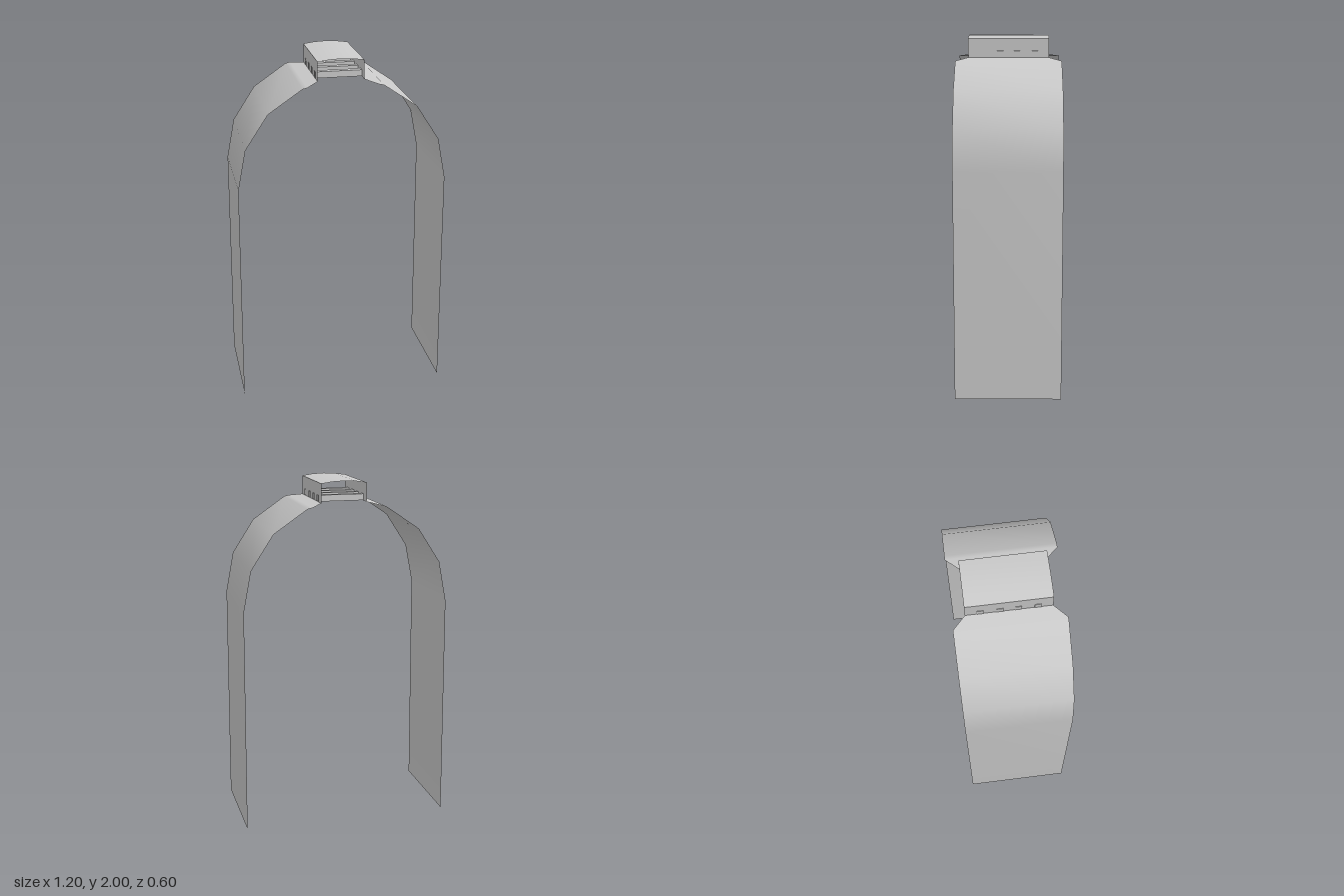
import * as THREE from 'three';

const SPRING = 1.3;                      // height where the arch begins
const ARCH_X = 0.592, ARCH_Y = 0.606;    // arch half width and rise
const NECK_X = 0.2;                      // where the roof starts to narrow
const CAP_X = 0.131, CAP_Z = 0.23;

const sheetMaterial = new THREE.MeshStandardMaterial({ color: 0xcccccc, side: THREE.DoubleSide });
const slatMaterial = new THREE.MeshStandardMaterial({ color: 0xcccccc });

// Thin sheet through rows of [x, y, halfDepth]
function sheet(name, rows) {
  const positions = [], index = [];
  rows.forEach(([x, y, d], i) => {
    positions.push(x, y, d, x, y, -d);
    if (i < rows.length - 1) {
      const a = i * 2;
      index.push(a, a + 1, a + 2, a + 1, a + 3, a + 2);
    }
  });
  const geometry = new THREE.BufferGeometry();
  geometry.setAttribute('position', new THREE.Float32BufferAttribute(positions, 3));
  geometry.setIndex(index);
  geometry.computeVertexNormals();
  const mesh = new THREE.Mesh(geometry, sheetMaterial);
  mesh.name = name;
  return mesh;
}

// Mirror rows across x, reversed so the outside still faces out
const mirrored = (rows) => rows.map(([x, y, d]) => [-x, y, d]).reverse();

export function createModel() {
  const group = new THREE.Group();
  group.name = 'ventilatedArch';

  // Half arch: slightly leaning leg, coarse curved roof, narrowed neck at the vent
  const half = [[0.6, 0, 0.3]];
  for (let i = 0; i <= 3; i++) {
    const a = i * Math.PI / 8;
    half.push([ARCH_X * Math.cos(a), SPRING + ARCH_Y * Math.sin(a), 0.3]);
  }
  half.push([NECK_X, 1.866, 0.3], [CAP_X, 1.88, CAP_Z]);
  group.add(sheet('leftArch', half), sheet('rightArch', mirrored(half)));

  // Raised vent: side walls and gently curved cap, open at both ends
  const wall = [[CAP_X, 1.88, CAP_Z], [CAP_X, 1.988, CAP_Z]];
  group.add(sheet('leftVentWall', wall), sheet('rightVentWall', mirrored(wall)));
  const cap = [];
  for (let i = 0; i <= 4; i++) {
    const t = 1 - i / 2;
    cap.push([CAP_X * t, 2 - 0.012 * t * t, CAP_Z]);
  }
  group.add(sheet('ventCap', cap));

  // Slats crossing under the cap, ends just showing through the walls
  const slatGeometry = new THREE.BoxGeometry(0.267, 0.036, 0.035);
  for (const z of [-0.15, -0.048, 0.048, 0.15]) {
    const slat = new THREE.Mesh(slatGeometry, slatMaterial);
    slat.name = 'ventSlat';
    slat.position.set(0, 1.9, z);
    group.add(slat);
  }
  return group;
}
